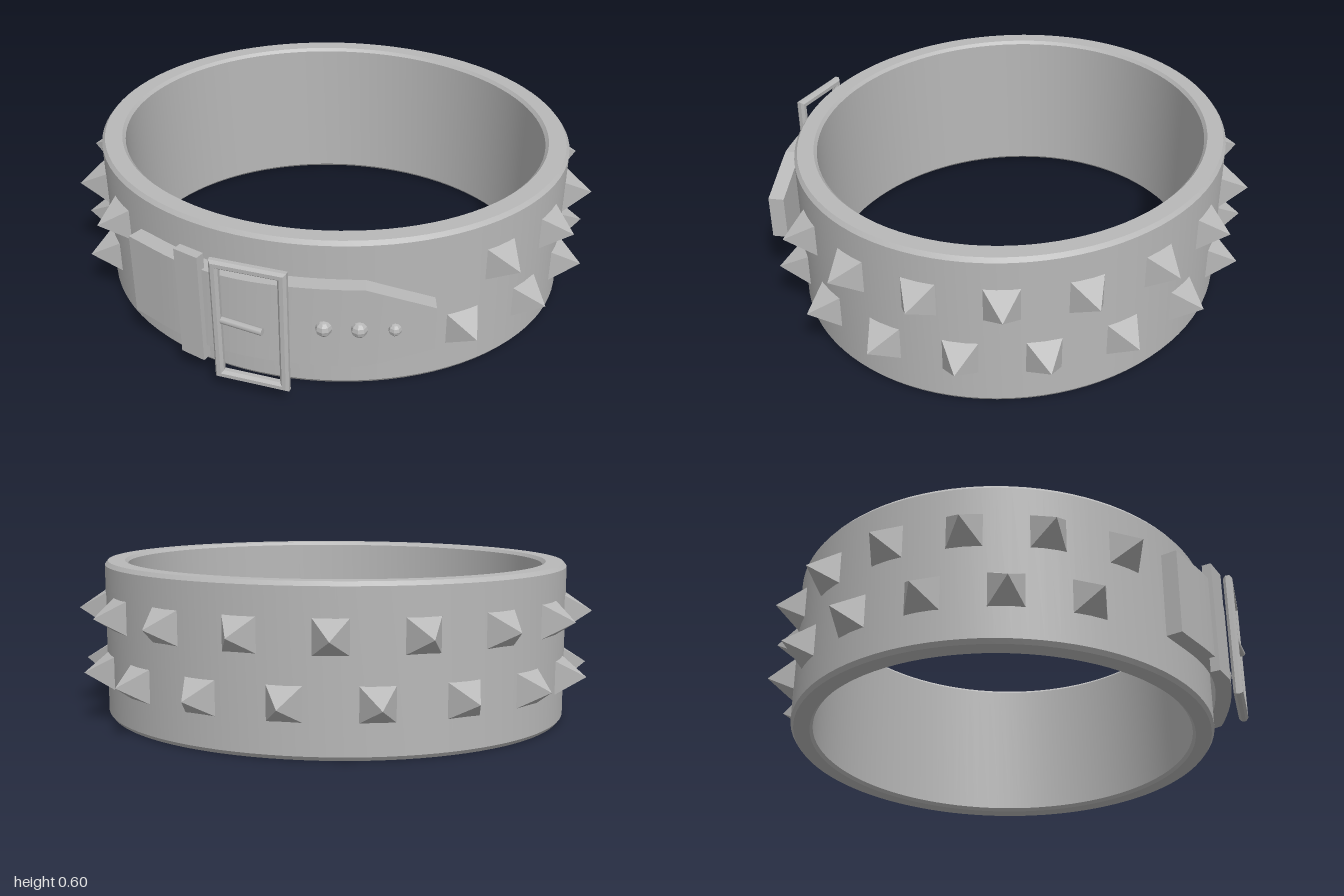
import * as THREE from 'three';
import { toCreasedNormals } from 'three/addons/utils/BufferGeometryUtils.js';

const RX = 0.9, RZ = 0.81, CZ = -0.02; // outer ellipse of the band

export function createModel() {
  const group = new THREE.Group();
  const grey = new THREE.MeshStandardMaterial({ color: 0xb8b8b8 });
  grey.name = 'grey';

  const add = (name, geometry, x = 0, y = 0, z = 0, turn = 0, parent = group) => {
    const mesh = new THREE.Mesh(geometry, grey);
    mesh.name = name;
    mesh.position.set(x, y, z);
    mesh.rotation.y = turn;
    parent.add(mesh);
    return mesh;
  };

  // Oval band with small bevels on every rim
  const profile = [
    [0.81, 0.012], [0.822, 0], [0.888, 0], [0.9, 0.015],
    [0.9, 0.585], [0.888, 0.6], [0.822, 0.6], [0.81, 0.588], [0.81, 0.012],
  ].map(([r, y]) => new THREE.Vector2(r, y));
  const band = new THREE.LatheGeometry(profile, 96);
  band.scale(1, 1, RZ / RX);
  add('band', toCreasedNormals(band, 0.4), 0, 0, CZ);

  // Pyramid studs in two staggered rows, leaving the front free
  const pyramid = new THREE.ConeGeometry(0.14 / Math.SQRT2, 0.115, 4);
  pyramid.rotateY(Math.PI / 4);
  pyramid.rotateX(Math.PI / 2);
  pyramid.translate(0, 0, 0.0425);
  const studGeometry = toCreasedNormals(pyramid, 0.3);
  const studs = new THREE.Group();
  studs.name = 'studs';
  group.add(studs);
  for (let i = -13; i <= 14; i++) {
    const a = THREE.MathUtils.degToRad(i * 10);
    const s = Math.sin(a), c = -Math.cos(a);
    add('stud', studGeometry, RX * s, i % 2 ? 0.418 : 0.192, CZ + RZ * c,
      Math.atan2(s / RX, c / RZ), studs);
  }

  // Curved strap whose free end narrows
  const path = new THREE.CatmullRomCurve3([
    [-0.583, 0.653], [-0.36, 0.77], [-0.18, 0.822], [0, 0.834], [0.2, 0.818], [0.497, 0.757],
  ].map(([x, z]) => new THREE.Vector3(x, 0, z)));
  const strap = new THREE.BoxGeometry(1, 1, 1, 24, 1, 1);
  const pos = strap.attributes.position;
  const taperStart = 19 / 24;
  for (let i = 0; i < pos.count; i++) {
    const u = THREE.MathUtils.clamp(pos.getX(i) + 0.5, 0, 1);
    const p = path.getPointAt(u), t = path.getTangentAt(u);
    const k = Math.max(0, (u - taperStart) / (1 - taperStart));
    const height = THREE.MathUtils.lerp(0.32, 0.17, k);
    const d = pos.getZ(i) * 0.06;
    pos.setXYZ(i, p.x - t.z * d, 0.305 + pos.getY(i) * height, p.z + t.x * d);
  }
  add('strap', toCreasedNormals(strap, 0.25));

  // Keeper loop beside the buckle
  add('keeperLoop', new THREE.BoxGeometry(0.1, 0.435, 0.035), -0.335, 0.307, 0.81, -0.39);

  // Bevelled buckle frame
  const rectangle = (target, w, h) => {
    target.moveTo(-w, -h);
    target.lineTo(w, -h);
    target.lineTo(w, h);
    target.lineTo(-w, h);
    target.closePath();
    return target;
  };
  const frame = rectangle(new THREE.Shape(), 0.127, 0.237);
  frame.holes.push(rectangle(new THREE.Path(), 0.113, 0.223));
  const frameGeometry = new THREE.ExtrudeGeometry(frame, {
    depth: 0.015, bevelEnabled: true, bevelThickness: 0.01, bevelSize: 0.009, bevelSegments: 1,
  });
  frameGeometry.translate(0, 0, -0.0075);
  add('buckleFrame', frameGeometry, -0.108, 0.305, 0.89, -0.12);

  // Prong across the buckle
  const prong = new THREE.CylinderGeometry(0.013, 0.013, 0.17, 8);
  prong.rotateZ(Math.PI / 2);
  add('prong', prong, -0.142, 0.305, 0.895, -0.25);

  // Faceted rivets along the strap's free end
  const rivets = [[0.135, 0.855, 0.03], [0.253, 0.838, 0.03], [0.37, 0.815, 0.024]];
  for (const [x, z, r] of rivets) {
    const ball = new THREE.SphereGeometry(r, 8, 6);
    add('rivet', toCreasedNormals(ball, 0.3), x, 0.305, z);
  }

  return group;
}
